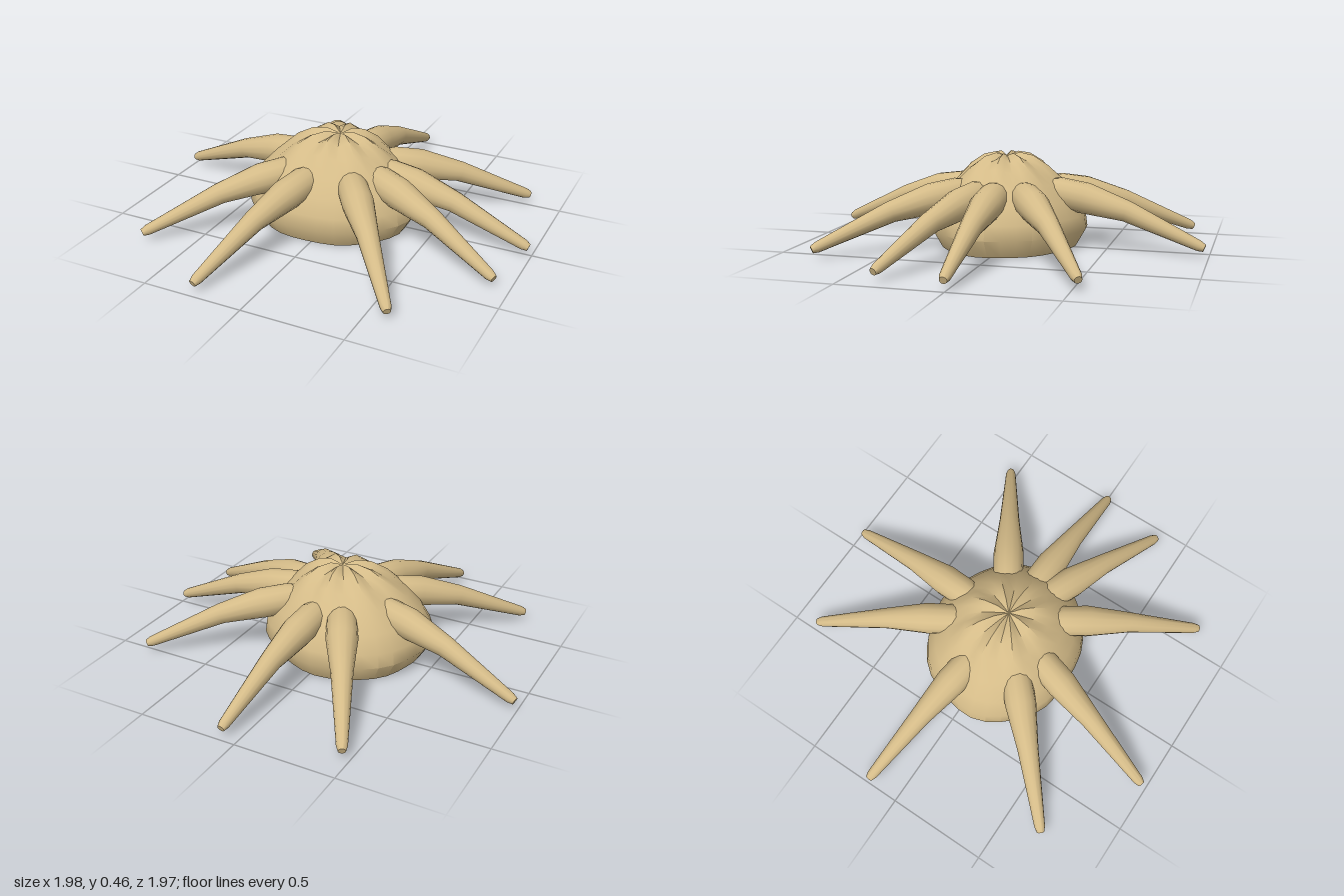
import * as THREE from 'three';
import { toCreasedNormals } from 'three/addons/utils/BufferGeometryUtils.js';

// Move every vertex of a geometry by a rule
function deform(geo, rule) {
  const p = geo.attributes.position, v = new THREE.Vector3();
  for (let i = 0; i < p.count; i++) {
    v.fromBufferAttribute(p, i);
    rule(v);
    p.setXYZ(i, v.x, v.y, v.z);
  }
  return geo;
}

const profile = (pts) => pts.map(([r, y]) => new THREE.Vector2(r, y));

// Lumpy dome with a flat sole and a puckered crown
function bodyGeometry() {
  const geo = new THREE.LatheGeometry(profile([
    [0, 0], [0.375, 0], [0.43, 0.09], [0.42, 0.16], [0.375, 0.24], [0.305, 0.32],
    [0.22, 0.392], [0.14, 0.438], [0.07, 0.452], [0, 0.445],
  ]), 32);
  deform(geo, (v) => {
    const r = Math.hypot(v.x, v.z), a = Math.atan2(v.z, v.x);
    const lump = 1 + 0.02 * Math.sin(3 * a + 0.6) + 0.012 * Math.sin(7 * a);
    const pucker = v.y > 0.35 ? 0.012 * Math.cos(8 * a) * Math.min(1, r / 0.07) : 0;
    v.x = v.x * lump * 1.01 - 0.03 * Math.min(1, r / 0.4);
    v.z = v.z * lump * 0.9 + 0.01;
    v.y += pucker;
  });
  return toCreasedNormals(geo, 0.7);
}

// Centre line of an arm: distance from the middle, height
const spine = [[0.2, 0.285], [0.38, 0.258], [0.61, 0.2], [1.0, 0.042]];
function spineAt(x) {
  let i = 0;
  while (i < spine.length - 2 && x > spine[i + 1][0]) i++;
  const [x0, y0] = spine[i], [x1, y1] = spine[i + 1];
  const slope = (y1 - y0) / (x1 - x0);
  return { y: y0 + (x - x0) * slope, slope };
}

// Tapered arm along +x, drooping along the spine, with a blunt tip
function armGeometry() {
  const geo = new THREE.LatheGeometry(profile([
    [0, 0.21], [0.06, 0.21], [0.075, 0.27], [0.077, 0.4], [0.052, 0.61],
    [0.026, 0.965], [0.018, 0.99], [0, 0.99],
  ]), 14);
  geo.rotateZ(-Math.PI / 2);
  deform(geo, (v) => {
    const { y, slope } = spineAt(v.x);
    const k = 1 / Math.hypot(1, slope);
    v.x -= v.y * slope * k;
    v.y = y + v.y * k;
  });
  return toCreasedNormals(geo, 0.7);
}

export function createModel() {
  const group = new THREE.Group();
  const tan = new THREE.MeshStandardMaterial({ color: 0xd4bb88 });
  tan.name = 'tan';

  const body = new THREE.Mesh(bodyGeometry(), tan);
  body.name = 'body';
  group.add(body);

  // Nine arms, each aimed at its tip (x, z)
  const tips = [
    [-0.47, -0.88], [0.08, -0.985], [0.835, -0.53], [0.99, 0.01], [0.93, 0.35],
    [0.605, 0.8], [-0.263, 0.975], [-0.74, 0.69], [-0.99, -0.165],
  ];
  const armGeo = armGeometry();
  tips.forEach(([x, z], i) => {
    const arm = new THREE.Mesh(armGeo, tan);
    arm.name = `arm${i + 1}`;
    arm.rotation.y = -Math.atan2(z, x);
    const s = Math.hypot(x, z) / 0.995;
    arm.scale.set(s, 1, 1);
    group.add(arm);
  });
  return group;
}
